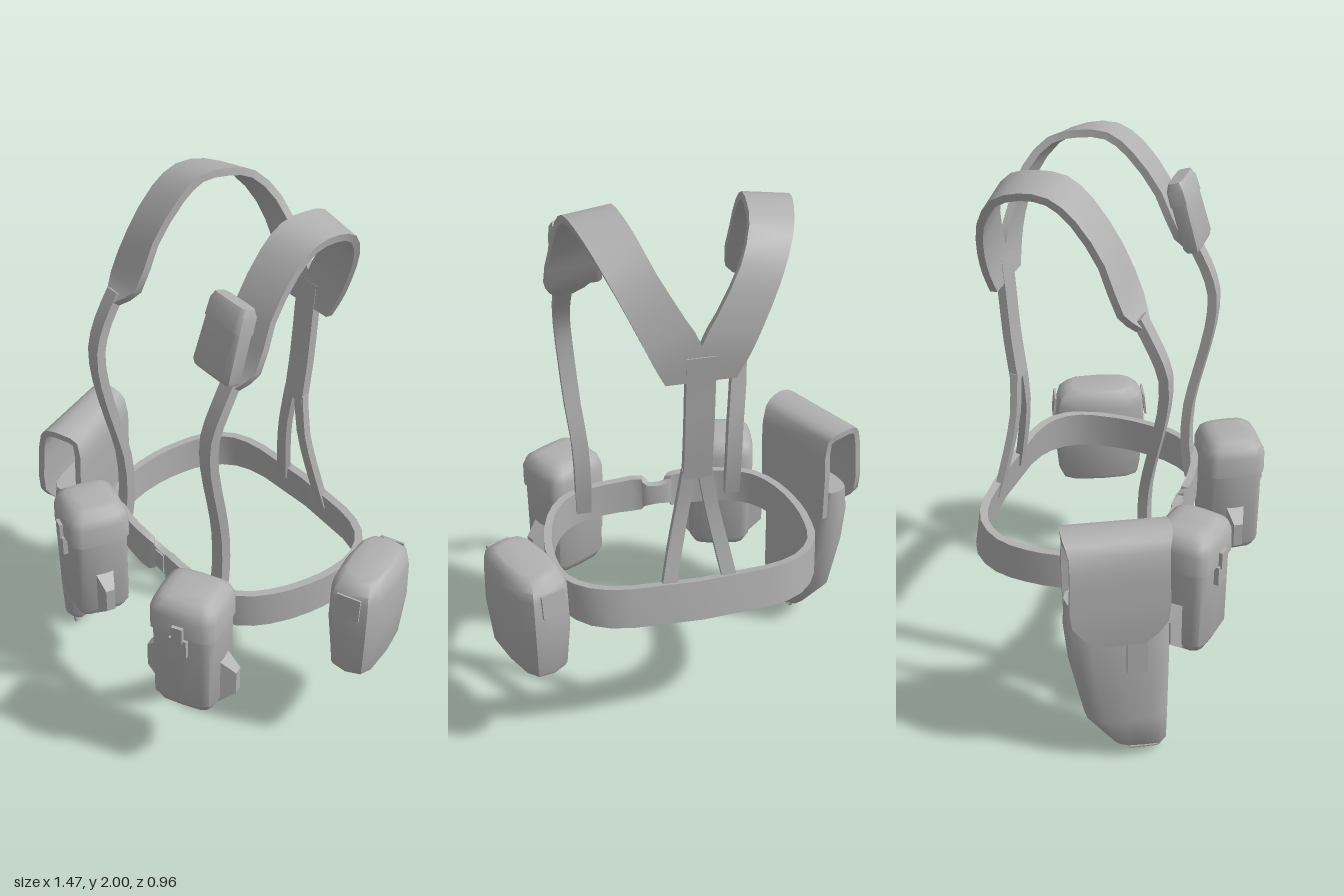
import * as THREE from 'three';
import { toCreasedNormals } from 'three/addons/utils/BufferGeometryUtils.js';

const V = (x, y, z) => new THREE.Vector3(x, y, z);

// Skin a series of rings (counter-clockwise about the sweep direction)
function skin(rings, closed = false, crease = 0.75) {
  const pos = [];
  const tri = (a, b, c) => pos.push(...a.toArray(), ...b.toArray(), ...c.toArray());
  const n = rings[0].length;
  const count = closed ? rings.length : rings.length - 1;
  for (let i = 0; i < count; i++) {
    const p = rings[i], q = rings[(i + 1) % rings.length];
    for (let j = 0; j < n; j++) {
      const k = (j + 1) % n;
      tri(p[j], p[k], q[k]);
      tri(p[j], q[k], q[j]);
    }
  }
  if (!closed) {
    const a = rings[0], b = rings[rings.length - 1];
    for (let j = 1; j < n - 1; j++) {
      tri(a[0], a[j + 1], a[j]);
      tri(b[0], b[j], b[j + 1]);
    }
  }
  const g = new THREE.BufferGeometry();
  g.setAttribute('position', new THREE.Float32BufferAttribute(pos, 3));
  return toCreasedNormals(g, crease);
}

// Ribbon of thickness t between two edge paths; stations are [ox,oy,oz, ix,iy,iz]
function ribbon(stations, t, closed = false, sub = 2) {
  const O = new THREE.CatmullRomCurve3(stations.map(s => V(s[0], s[1], s[2])), closed);
  const I = new THREE.CatmullRomCurve3(stations.map(s => V(s[3], s[4], s[5])), closed);
  const n = (closed ? stations.length : stations.length - 1) * sub;
  const rings = [];
  for (let i = 0; i < (closed ? n : n + 1); i++) {
    const u = i / n, o = O.getPoint(u), p = I.getPoint(u);
    const T = O.getTangent(u).add(I.getTangent(u));
    const N = o.clone().sub(p).cross(T).normalize().multiplyScalar(t / 2);
    rings.push([o.clone().add(N), o.clone().sub(N), p.clone().sub(N), p.clone().add(N)]);
  }
  return skin(rings, closed);
}

// Stacked rounded-rectangle sections [y, width, depth, zShift]
function stack(sections, n = 16, e = 0.42, crease = 0.75) {
  const f = v => Math.sign(v) * Math.pow(Math.abs(v) < 1e-6 ? 0 : Math.abs(v), e);
  return skin(sections.map(([y, w, d, cz = 0]) => Array.from({ length: n }, (_, j) => {
    const a = (j / n) * Math.PI * 2;
    return V(f(Math.sin(a)) * w / 2, y, f(Math.cos(a)) * d / 2 + cz);
  })), false, crease);
}

export function createModel() {
  const model = new THREE.Group();
  model.name = 'loadBearingHarness';
  const grey = new THREE.MeshStandardMaterial({ color: 0xb0b0b0 });
  grey.name = 'grey';

  const add = (parent, name, geo, x = 0, y = 0, z = 0) => {
    const m = new THREE.Mesh(geo, grey);
    m.name = name;
    m.position.set(x, y, z);
    parent.add(m);
    return m;
  };
  const group = (name, x, z, turn) => {
    const g = new THREE.Group();
    g.name = name;
    g.position.set(x, 0, z);
    g.rotation.y = turn;
    model.add(g);
    return g;
  };
  const mirror = (st, s) => st.map(p => [p[0] * s, p[1], p[2], p[3] * s, p[4], p[5]]);
  // Constant-width strap stations from centre points, with the width along x
  const level = (pts, w) => pts.map(([x, y, z]) => [x + w / 2, y, z, x - w / 2, y, z]);

  // Belt: half outline [x, z, bottom, top, backward lean], mirrored into a loop
  const half = [
    [0.035, 0.212, 0.615, 0.705, 0], [0.055, 0.225, 0.592, 0.73, 0], [0.15, 0.225, 0.592, 0.73, 0],
    [0.28, 0.205, 0.592, 0.73, 0], [0.37, 0.155, 0.592, 0.73, 0], [0.43, 0.06, 0.592, 0.73, 0],
    [0.465, -0.08, 0.592, 0.73, 0], [0.468, -0.2, 0.592, 0.73, 0], [0.445, -0.32, 0.592, 0.735, 0.01],
    [0.37, -0.415, 0.592, 0.74, 0.02], [0.24, -0.46, 0.592, 0.74, 0.025],
  ];
  const loop = [...half, ...half.slice().reverse().map(p => [-p[0], ...p.slice(1)])];
  add(model, 'belt', ribbon(loop.map(([x, z, a, b, l]) => [x, b, z + l, x, a, z]), 0.028, true));
  add(model, 'buckle', new THREE.BoxGeometry(0.05, 0.075, 0.03), 0, 0.66, 0.215);

  // Shoulder pads and straps, mirrored left and right
  const pad = [
    [0.36, 1.57, 0.165, 0.30, 1.57, 0.175], [0.40, 1.63, 0.115, 0.23, 1.635, 0.13],
    [0.385, 1.78, 0.05, 0.225, 1.79, 0.06], [0.375, 1.91, -0.045, 0.215, 1.925, -0.04],
    [0.365, 1.965, -0.13, 0.208, 1.983, -0.12], [0.345, 1.962, -0.23, 0.195, 1.985, -0.22],
    [0.31, 1.915, -0.33, 0.175, 1.96, -0.31], [0.255, 1.81, -0.40, 0.13, 1.87, -0.385],
    [0.195, 1.68, -0.428, 0.05, 1.73, -0.42], [0.155, 1.59, -0.43, 0, 1.64, -0.43],
    [0.115, 1.51, -0.422, 0, 1.51, -0.422],
  ];
  const frontStrap = level([
    [0.33, 1.6, 0.155], [0.333, 1.5, 0.21], [0.328, 1.4, 0.245], [0.32, 1.27, 0.24],
    [0.31, 1.1, 0.205], [0.295, 0.95, 0.175], [0.29, 0.78, 0.17], [0.29, 0.64, 0.19],
  ], 0.058);
  const backStrap = [
    [0.05, 1.16, -0.39, 0, 1.16, -0.39], [0.075, 1.0, -0.388, 0.028, 1.0, -0.388],
    [0.105, 0.86, -0.408, 0.055, 0.86, -0.408], [0.14, 0.68, -0.445, 0.09, 0.68, -0.445],
  ];
  for (const [s, side] of [[1, 'left'], [-1, 'right']]) {
    add(model, side + 'ShoulderPad', ribbon(mirror(pad, s), 0.026));
    add(model, side + 'FrontStrap', ribbon(mirror(frontStrap, s), 0.034));
    add(model, side + 'BackStrap', ribbon(mirror(backStrap, s), 0.026));
  }
  add(model, 'centreBackStrap', ribbon(level([
    [0, 1.6, -0.43], [0, 1.48, -0.42], [0, 1.3, -0.408], [0, 1.13, -0.388]], 0.096), 0.03));

  // Small pouch leaning on the left shoulder pad
  const small = group('shoulderPouch', 0.285, 0.155, 0);
  small.position.y = 1.72;
  small.rotation.x = -0.3;
  add(small, 'shoulderPouchBody', stack([
    [-0.125, 0.18, 0.05], [-0.11, 0.19, 0.065], [0.05, 0.172, 0.068]], 16, 0.35));
  add(small, 'shoulderPouchFlap', stack([
    [0.045, 0.178, 0.076], [0.1, 0.172, 0.074], [0.125, 0.155, 0.05]], 16, 0.35));

  // Two front pouches with lid, latch and side pockets
  for (const [side, x, z, turn] of [['left', 0.34, 0.325, 0.5], ['right', -0.283, 0.335, -0.22]]) {
    const g = group(side + 'FrontPouch', x, z, turn);
    add(g, 'pouchBody', stack([
      [0.338, 0.16, 0.14], [0.352, 0.205, 0.185], [0.385, 0.24, 0.215], [0.7, 0.242, 0.22]]));
    add(g, 'pouchLid', stack([
      [0.695, 0.256, 0.238], [0.77, 0.254, 0.236], [0.805, 0.23, 0.21], [0.826, 0.18, 0.16], [0.832, 0.12, 0.1]],
      16, 0.42, 0.9));
    add(g, 'latch', new THREE.BoxGeometry(0.065, 0.075, 0.022), 0, 0.655, 0.115);
    add(g, 'latchTab', new THREE.BoxGeometry(0.04, 0.065, 0.02), 0, 0.715, 0.121);
    for (const s of [1, -1]) {
      const pocket = add(g, 'sidePocket', new THREE.CylinderGeometry(0.024, 0.05, 0.06, 4, 1)
        .rotateY(Math.PI / 4).scale(2.8, 1, 1).toNonIndexed(), s * 0.142, 0.46, 0);
      pocket.geometry.computeVertexNormals();
      pocket.rotation.z = -s * Math.PI / 2;
    }
  }

  // Large pouch on the left rear of the belt
  const rear = group('rearPouch', 0.575, -0.272, 0.4);
  add(rear, 'rearPouchBody', stack([
    [0.402, 0.165, 0.32], [0.42, 0.18, 0.335], [0.6, 0.21, 0.37], [0.74, 0.205, 0.36],
    [0.775, 0.19, 0.34], [0.805, 0.15, 0.27], [0.81, 0.13, 0.22]], 12, 0.62));
  for (const s of [1, -1]) {
    const flap = add(rear, 'rearPouchFlap', new THREE.BoxGeometry(0.09, 0.09, 0.008), 0, 0.725, s * 0.182);
    flap.rotation.x = -s * 0.1;
  }

  // Holster on the right side, open between body and cover flap
  const h = group('holster', -0.588, 0.157, 0.44);
  add(h, 'holsterBody', stack([
    [0.045, 0.075, 0.13, 0.105], [0.065, 0.11, 0.19, 0.085], [0.2, 0.145, 0.295, 0.035],
    [0.45, 0.16, 0.35, 0.01], [0.6, 0.16, 0.36, 0], [0.7, 0.13, 0.35, 0]], 16, 0.62));
  const cover = [
    [0.066, 0.6, 0.17], [0.072, 0.8, 0.175], [0.065, 0.935, 0.17], [0.02, 0.957, 0.18],
    [-0.04, 0.957, 0.18], [-0.08, 0.92, 0.165], [-0.098, 0.8, 0.165], [-0.104, 0.66, 0.16], [-0.1, 0.57, 0.085],
  ];
  add(h, 'holsterCover', ribbon(cover.map(([x, y, d]) => [x, y, d, x, y, -d]), 0.024));
  add(h, 'holsterLatch', new THREE.BoxGeometry(0.03, 0.13, 0.07), -0.085, 0.5, 0.06);
  const ring = new THREE.CatmullRomCurve3(
    [V(0, 0.055, 0.045), V(0, 0.008, 0.05), V(0, 0.008, 0.155), V(0, 0.055, 0.16)], true, 'catmullrom', 0.1);
  add(h, 'holsterRing', new THREE.TubeGeometry(ring, 24, 0.006, 5, true));

  return model;
}
